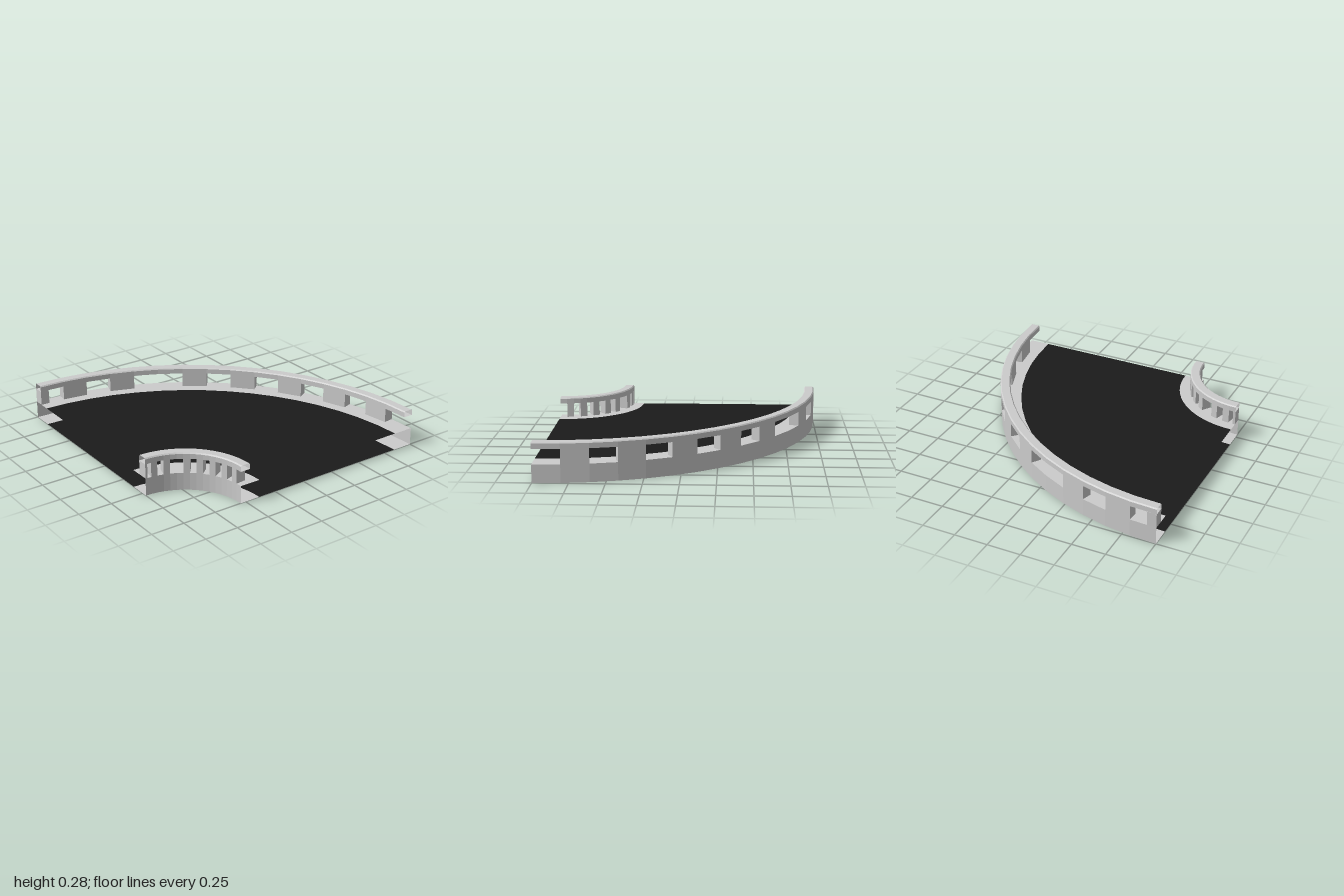
import * as THREE from 'three';

const GREY = new THREE.MeshStandardMaterial({ color: 0xcccccc, flatShading: true, side: THREE.DoubleSide });
const DARK = new THREE.MeshStandardMaterial({ color: 0x1b1b1b, flatShading: true, side: THREE.DoubleSide });
const SEGMENTS = 16;
const STEP = Math.PI / 2 / SEGMENTS;
const DECK = 0.13, RAIL_BOTTOM = 0.237, RAIL_TOP = 0.282;
const OUTER = 2, INNER = 0.46, CURB = 0.155, RAIL = 0.075;

// Sweeps a [radius, height] profile through the quarter turn
function sweep(name, profile, material = GREY) {
  const points = profile.map(([r, y]) => new THREE.Vector2(r, y));
  const mesh = new THREE.Mesh(new THREE.LatheGeometry(points, SEGMENTS, -Math.PI, Math.PI / 2), material);
  mesh.name = name;
  return mesh;
}

// A block bent along the arc; start and end are counted in segments
function post(name, r0, r1, start, end) {
  const geometry = new THREE.BoxGeometry(1, 1, 1);
  const p = geometry.attributes.position;
  for (let i = 0; i < p.count; i++) {
    const a = (p.getX(i) < 0 ? start : end) * STEP;
    const r = p.getZ(i) < 0 ? r1 : r0;
    const y = p.getY(i) < 0 ? DECK : RAIL_BOTTOM;
    p.setXYZ(i, -r * Math.cos(a), y, -r * Math.sin(a));
  }
  geometry.computeVertexNormals();
  const mesh = new THREE.Mesh(geometry, GREY);
  mesh.name = name;
  return mesh;
}

// Curb, posts and handrail of one side; wall is the exposed face, dir points to the road
function side(name, wall, dir) {
  const group = new THREE.Group();
  group.name = name;
  const inside = wall + dir * CURB;
  const back = wall + dir * RAIL;
  const bevel = 0.008, d = dir * bevel;

  // Hollow curb, open at both ends and towards the road
  group.add(sweep('curb', [[inside, 0], [wall, 0], [wall, DECK], [inside, DECK]]));

  // Handrail tube with softened upper edges
  group.add(sweep('handrail', [
    [wall, RAIL_BOTTOM], [wall, RAIL_TOP - bevel], [wall + d, RAIL_TOP],
    [back - d, RAIL_TOP], [back, RAIL_TOP - bevel], [back, RAIL_BOTTOM], [wall, RAIL_BOTTOM],
  ]));

  // A narrow end post, then one-segment posts with a wide gap after the second
  const spans = [[0, 0.35], ...[1, 3, 6, 8, 10, 12, 14].map(s => [s, s + 1])];
  for (const [start, end] of spans) {
    group.add(post('railPost', Math.min(wall, back), Math.max(wall, back), start, end));
  }
  return group;
}

export function createModel() {
  const model = new THREE.Group();
  model.name = 'curvedRoad';
  const r0 = INNER + CURB, r1 = OUTER - CURB;

  model.add(side('outerSide', OUTER, -1), side('innerSide', INNER, 1));

  // Road surface and underside
  model.add(sweep('roadSurface', [[r1, DECK], [r0, DECK]], DARK));
  model.add(sweep('roadUnderside', [[r0, 0], [r1, 0]], DARK));

  // Arc centre sits at the front left corner
  model.children.forEach(part => part.position.set(1, 0, 1));
  return model;
}
